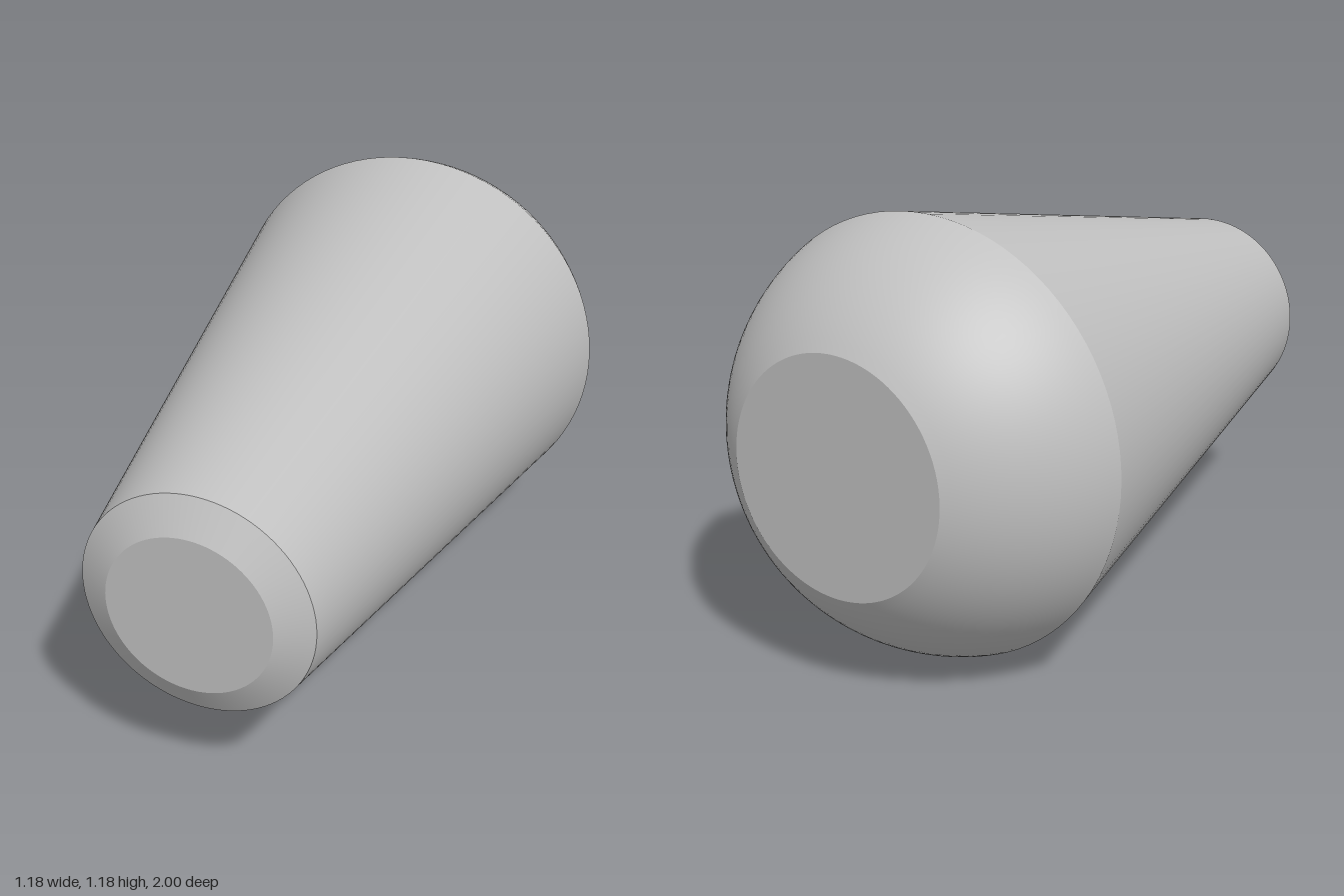
import * as THREE from 'three';

export function createModel() {
  const group = new THREE.Group();
  const grey = new THREE.MeshStandardMaterial({ color: 0xc0c0c0 });
  grey.name = 'grey';
  const R = 0.59; // widest radius, also the height of the axis

  // Revolves [radius, z] points, listed back to front, around the z axis
  const revolve = (name, profile) => {
    const points = profile.map(([r, z]) => new THREE.Vector2(r, z));
    const geometry = new THREE.LatheGeometry(points, 96).rotateX(Math.PI / 2);
    const mesh = new THREE.Mesh(geometry, grey);
    mesh.name = name;
    mesh.position.y = R;
    group.add(mesh);
  };

  // Spherical end, cut flat at the back
  const centre = -0.463, radius = Math.hypot(R, -0.655 - centre);
  const start = Math.acos((-1 - centre) / radius);
  const end = Math.acos((-0.655 - centre) / radius);
  const dome = [];
  for (let i = 0; i <= 16; i++) {
    const a = start + (end - start) * i / 16;
    dome.push([radius * Math.sin(a), centre + radius * Math.cos(a)]);
  }

  revolve('backCap', [[0, -1], dome[0]]);
  revolve('roundedEnd', dome);
  revolve('taperedBody', [[R, -0.655], [0.31, 0.95]]);
  revolve('frontChamfer', [[0.31, 0.95], [0.22, 1]]);
  revolve('frontCap', [[0.22, 1], [0, 1]]);
  return group;
}
